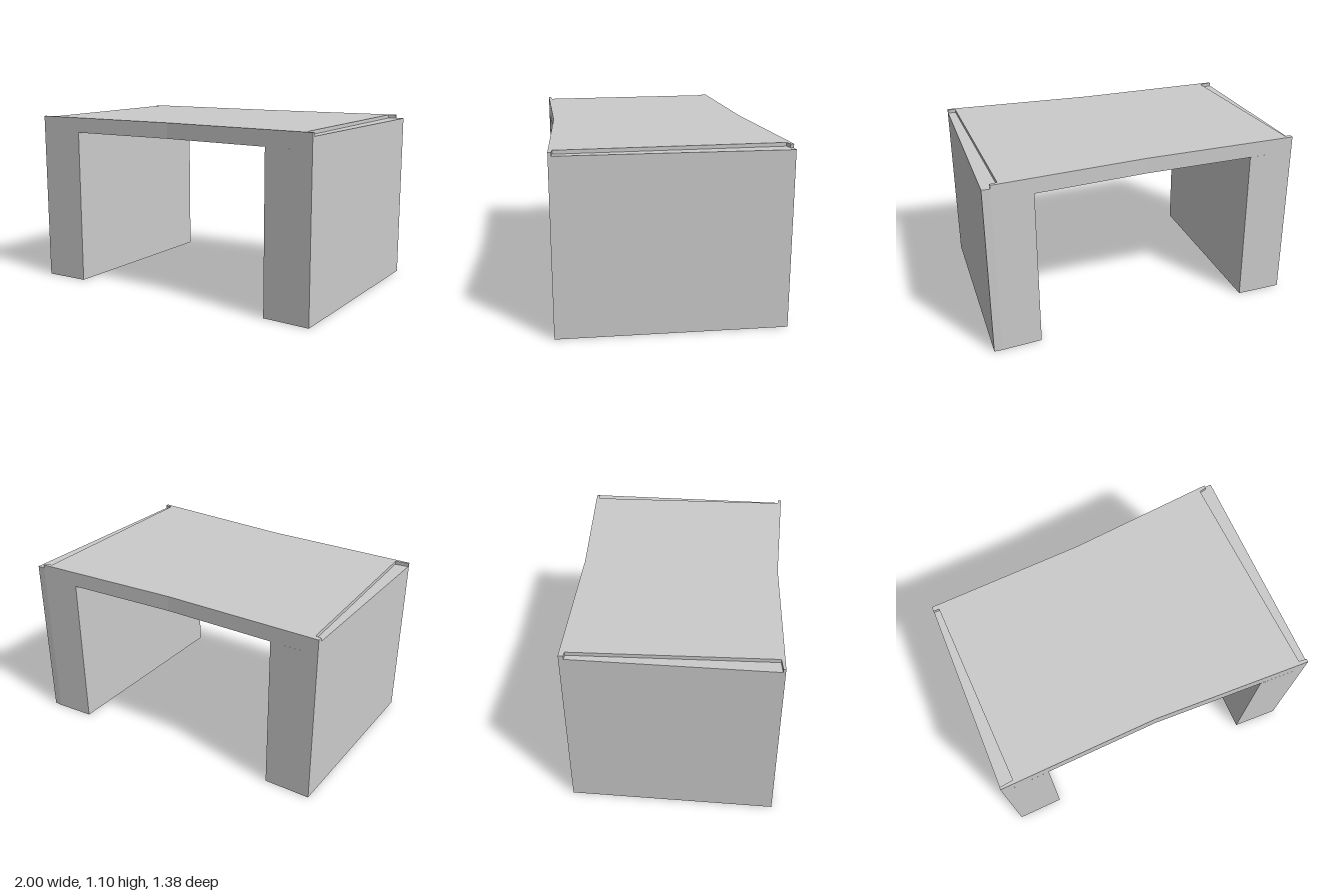
import * as THREE from 'three';
import { mergeGeometries } from 'three/addons/utils/BufferGeometryUtils.js';

const material = new THREE.MeshStandardMaterial({ color: 0xcccccc, flatShading: true });

// Heights: underside of the top, floor of the side recesses, upper surface
const UNDER = 1.0, LEDGE = 1.075, TOP = 1.097;

// Outlines are lists of [x, z], going back left, back right, front right, front left.
function flat(outline, y, up) {
  const s = up ? -1 : 1;
  const shape = new THREE.Shape(outline.map(([x, z]) => new THREE.Vector2(x, s * z)));
  return new THREE.ShapeGeometry(shape).rotateX(s * Math.PI / 2).translate(0, y, 0).toNonIndexed();
}

function walls(outline, y0, y1) {
  const pos = [], uv = [];
  outline.forEach(([ax, az], i) => {
    const [bx, bz] = outline[(i + 1) % outline.length];
    pos.push(ax, y0, az, ax, y1, az, bx, y1, bz, ax, y0, az, bx, y1, bz, bx, y0, bz);
    uv.push(0, 0, 0, 1, 1, 1, 0, 0, 1, 1, 1, 0);
  });
  const g = new THREE.BufferGeometry();
  g.setAttribute('position', new THREE.Float32BufferAttribute(pos, 3));
  g.setAttribute('uv', new THREE.Float32BufferAttribute(uv, 2));
  g.computeVertexNormals();
  return g;
}

function part(name, geometries) {
  const mesh = new THREE.Mesh(mergeGeometries(geometries), material);
  mesh.name = name;
  return mesh;
}

export function createModel() {
  const group = new THREE.Group();
  group.name = 'table';

  // Slab legs, following the bent front and back edges
  const rightLeg = [[-1, -0.56], [-0.705, -0.572], [-0.705, 0.675], [-1, 0.685]];
  const leftLeg = [[0.7, -0.666], [0.95, -0.69], [1, -0.69], [1, 0.685], [0.7, 0.675]];
  for (const [name, outline] of [['rightLeg', rightLeg], ['leftLeg', leftLeg]]) {
    group.add(part(name, [walls(outline, 0, UNDER), flat(outline, 0, false)]));
  }

  // Deck: full outline, with the underside open only between the legs
  const deck = [[-1, -0.56], [0, -0.6], [0.95, -0.69], [1, -0.69], [1, 0.685], [0, 0.65], [-1, 0.685]];
  const between = [[-0.705, -0.572], [0, -0.6], [0.7, -0.666], [0.7, 0.675], [0, 0.65], [-0.705, 0.675]];
  group.add(part('deck', [walls(deck, UNDER, LEDGE), flat(between, UNDER, false)]));

  // Raised top surface, notched along both sides
  const leftNotch = [[0.95, -0.69], [0.95, -0.67], [0.905, -0.66], [0.95, 0.66], [1, 0.665]];
  const rightNotch = [[-1, 0.67], [-0.915, 0.66], [-0.963, -0.53], [-1, -0.53]];
  const top = [[-1, -0.56], [0, -0.6], ...leftNotch, [1, 0.685], [0, 0.65], [-1, 0.685], ...rightNotch];
  group.add(part('topSurface', [walls(top, LEDGE, TOP), flat(top, TOP, true)]));

  // Shallow recess floors
  group.add(part('leftRecess', [flat([...leftNotch, [1, -0.69]], LEDGE, true)]));
  group.add(part('rightRecess', [flat(rightNotch, LEDGE, true)]));

  return group;
}
